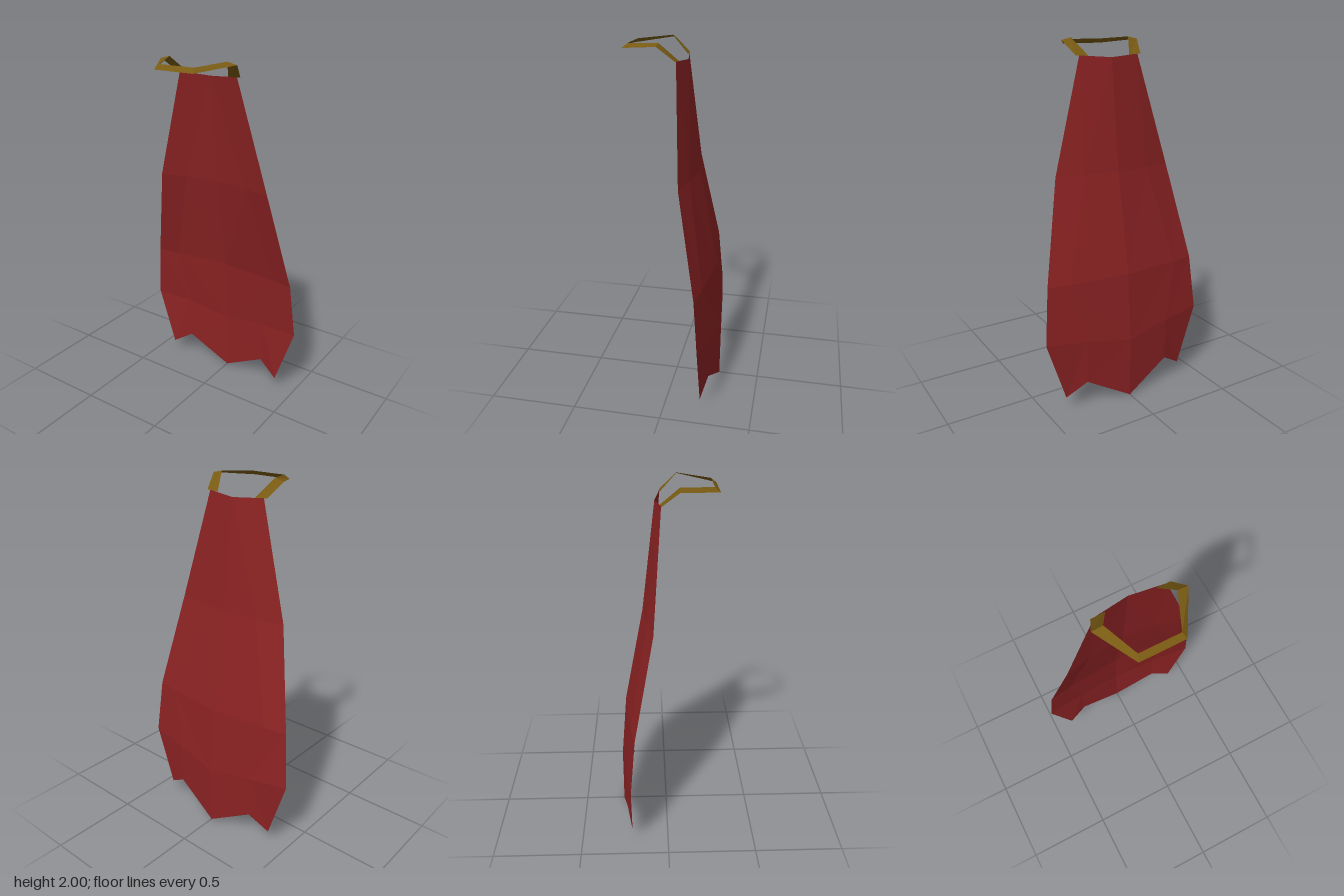
import * as THREE from 'three';

// Builds a flat-shaded sheet from a list of triangles and quads of corner points
function sheet(faces, material, name) {
  const pos = [];
  for (const f of faces) {
    for (let i = 1; i < f.length - 1; i++) pos.push(...f[0], ...f[i], ...f[i + 1]);
  }
  const geo = new THREE.BufferGeometry();
  geo.setAttribute('position', new THREE.Float32BufferAttribute(pos, 3));
  geo.computeVertexNormals();
  const mesh = new THREE.Mesh(geo, material);
  mesh.name = name;
  return mesh;
}

// Adds the x-mirrored copy of each face, with its corner order reversed
const mirrored = (faces) =>
  faces.concat(faces.map((f) => f.map(([x, y, z]) => [-x, y, z]).reverse()));

export function createModel() {
  const group = new THREE.Group();
  group.name = 'cape';
  const red = new THREE.MeshStandardMaterial({ color: 0x8b2223, side: THREE.DoubleSide, flatShading: true });
  red.name = 'red cloth';
  const gold = new THREE.MeshStandardMaterial({ color: 0x785a12, side: THREE.DoubleSide, flatShading: true });
  gold.name = 'dull gold';

  // Cloth rows of one half, from the centre fold through the side fold to the hem
  const topC = [0, 1.9, -0.06], topE = [0.18, 1.912, -0.03];
  const rows = [
    [[0, 1.3, -0.13], [0.2, 1.3, -0.107], [0.355, 1.3, -0.075]],
    [[0, 0.74, -0.235], [0.34, 0.74, -0.203], [0.47, 0.74, -0.18]],
    [[0, 0.35, -0.266], [0.265, 0.4, -0.24], [0.5, 0.42, -0.207]],
  ];
  const faces = [
    [topC, rows[0][0], rows[0][1]],
    [topC, rows[0][1], topE],
    [topE, rows[0][1], rows[0][2]],
  ];
  for (let r = 0; r < 2; r++) {
    for (let c = 0; c < 2; c++) {
      const a = rows[r][c], b = rows[r + 1][c], d = rows[r + 1][c + 1], e = rows[r][c + 1];
      faces.push([e, a, b], [e, b, d]);
    }
  }
  // Ragged hem
  const [hemC, hemQ, hemE] = rows[2];
  const notch = [0.265, 0.15, -0.236], tip = [0.385, 0.073, -0.207], point = [0, 0, -0.266];
  faces.push([hemC, point, notch], [hemC, notch, hemQ], [hemQ, notch, tip], [hemQ, tip, hemE]);
  group.add(sheet(mirrored(faces), red, 'cloth'));

  // Collar band: outer and inner corners from the cloth round to the front bar
  const band = [
    [[0.2, 1.912, -0.03], [0.125, 1.908, -0.034]],
    [[0.235, 1.987, 0.058], [0.178, 2.0, 0.06]],
    [[0.117, 1.962, 0.265], [0.105, 1.986, 0.236]],
    [[0, 1.962, 0.265], [0, 1.986, 0.236]],
  ];
  const bandFaces = [];
  for (let i = 0; i < 3; i++) {
    const [o1, i1] = band[i], [o2, i2] = band[i + 1];
    bandFaces.push([o1, i1, i2, o2]);
  }
  group.add(sheet(mirrored(bandFaces), gold, 'collarBand'));
  return group;
}
